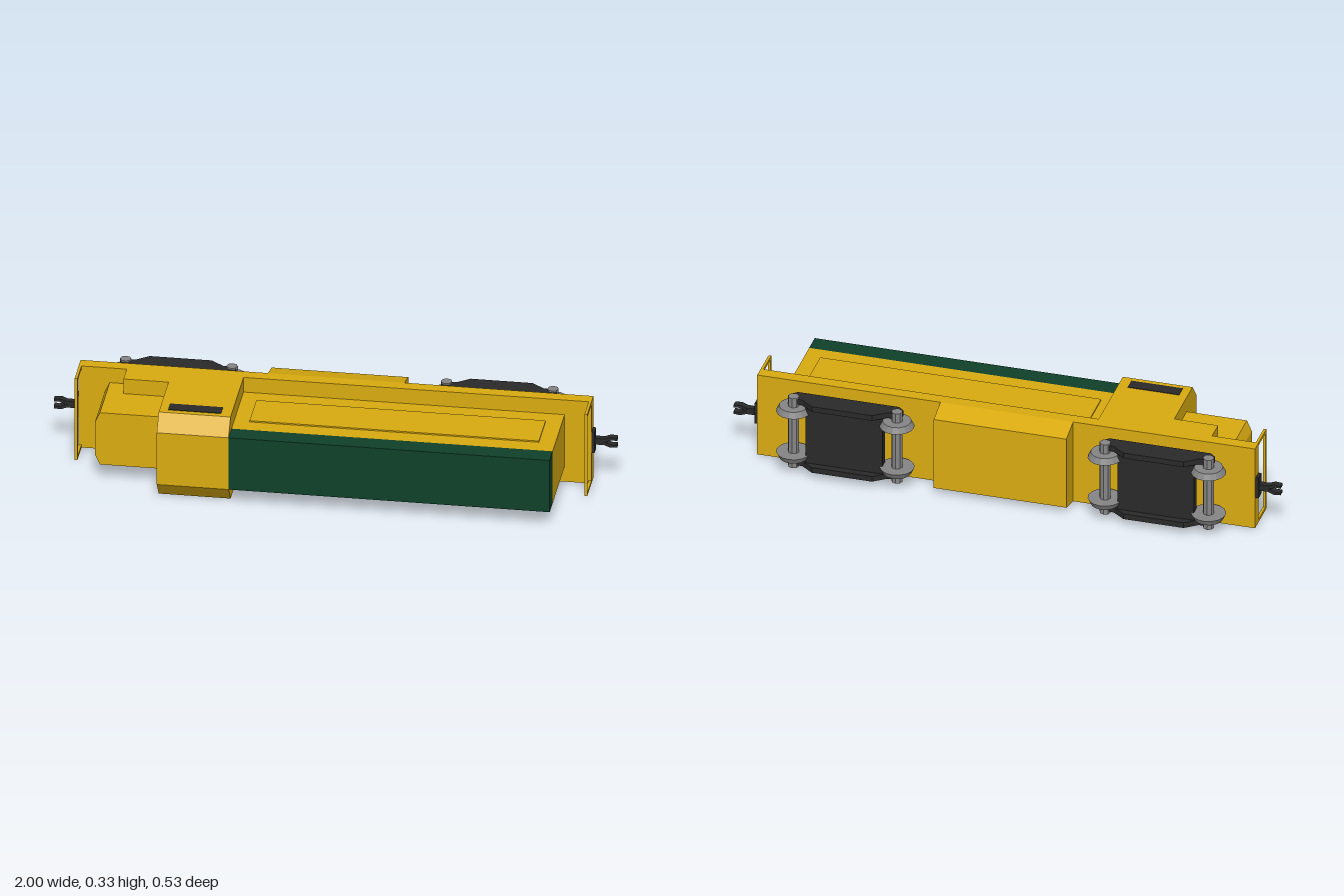
import * as THREE from 'three';

const MID = 0.162; // centre line of the body, in y
const mat = (color) => new THREE.MeshStandardMaterial({ color, flatShading: true });

export function createModel() {
  const root = new THREE.Group();
  const yellow = mat(0xd9ab10), green = mat(0x0f4029), dark = mat(0x2a2a2a), steel = mat(0x858585);

  const add = (parent, name, geometry, material) => {
    const mesh = new THREE.Mesh(geometry, material);
    mesh.name = name;
    parent.add(mesh);
    return mesh;
  };
  // Box given by its limits on each axis
  const box = (parent, name, x0, x1, y0, y1, z0, z1, material) => {
    const m = add(parent, name, new THREE.BoxGeometry(x1 - x0, y1 - y0, z1 - z0), material);
    m.position.set((x0 + x1) / 2, (y0 + y1) / 2, (z0 + z1) / 2);
    return m;
  };
  // Prism along x, outline in [z, y]
  const prismX = (parent, name, outline, x0, x1, material) => {
    const shape = new THREE.Shape(outline.map(([z, y]) => new THREE.Vector2(-z, y)));
    const g = new THREE.ExtrudeGeometry(shape, { depth: x1 - x0, bevelEnabled: false });
    g.rotateY(Math.PI / 2).translate(x0, 0, 0);
    return add(parent, name, g, material);
  };
  // Prism along y, outline in [x, z]
  const prismY = (parent, name, outline, y0, y1, material) => {
    const shape = new THREE.Shape(outline.map(([x, z]) => new THREE.Vector2(x, z)));
    const g = new THREE.ExtrudeGeometry(shape, { depth: y1 - y0, bevelEnabled: false });
    g.rotateX(Math.PI / 2).translate(0, y1, 0);
    return add(parent, name, g, material);
  };

  // Underframe and tapered fuel tank
  box(root, 'underframe', -0.91, 0.91, 0, 0.323, -0.13, -0.085, yellow);
  prismX(root, 'fuelTank', [[-0.13, 0], [-0.13, 0.323], [-0.215, 0.301], [-0.215, 0.022]],
    -0.245, 0.24, yellow);

  // Long hood with side panels and green top
  box(root, 'longHood', -0.325, 0.815, 0.06, 0.265, -0.085, 0.195, yellow);
  box(root, 'hoodTop', -0.325, 0.815, 0.06, 0.265, 0.195, 0.265, green);
  box(root, 'hoodSidePanels', -0.27, 0.757, 0.055, 0.27, -0.022, 0.135, yellow);

  // Cab with chamfered roof and side windows
  prismX(root, 'cab', [[-0.085, 0], [0.218, 0], [0.265, 0.06], [0.265, 0.265], [0.218, 0.323], [-0.085, 0.323]],
    -0.58, -0.325, yellow);
  box(root, 'rightWindow', -0.55, -0.362, 0.321, 0.325, 0.152, 0.198, dark);
  box(root, 'leftWindow', -0.55, -0.362, -0.002, 0.002, 0.152, 0.198, dark);

  // Short nose with clipped corners, and the raised step beside it
  prismY(root, 'nose', [[-0.8, -0.085], [-0.8, 0.145], [-0.58, 0.145], [-0.58, -0.085]], 0.06, 0.265, yellow);
  const tip = new THREE.Shape([[-0.8, 0.06], [-0.8, 0.265], [-0.818, 0.225], [-0.818, 0.1]]
    .map(([x, y]) => new THREE.Vector2(x, y)));
  add(root, 'noseFront', new THREE.ExtrudeGeometry(tip, { depth: 0.23, bevelEnabled: false }), yellow)
    .position.z = -0.085;
  box(root, 'noseStep', -0.74, -0.58, 0, 0.323, -0.085, -0.01, yellow);

  // End railings and couplers
  for (const s of [-1, 1]) {
    const end = new THREE.Group();
    end.name = s < 0 ? 'cabEnd' : 'hoodEnd';
    if (s < 0) end.rotation.z = Math.PI;
    if (s < 0) end.position.y = 2 * MID - 0.001;
    root.add(end);
    for (const y of [0, 0.312]) box(end, 'railingPost', 0.9, 0.91, y, y + 0.011, -0.085, 0.012, yellow);
    box(end, 'railingBar', 0.9, 0.91, 0.011, 0.312, 0.002, 0.012, yellow);
    box(end, 'couplerPlate', 0.91, 0.921, MID - 0.041, MID + 0.041, -0.124, -0.086, dark);
    box(end, 'couplerShank', 0.921, 0.962, MID - 0.012, MID + 0.012, -0.118, -0.095, dark);
    for (const k of [-1, 1]) {
      const y = (v) => MID + k * v;
      const jaw = [[0.952, y(0)], [0.972, y(0.006)], [0.982, y(0.01)], [1, y(0.008)], [1, y(0.018)], [0.975, y(0.02)], [0.955, y(0.012)]];
      const shape = new THREE.Shape(jaw.map(([a, b]) => new THREE.Vector2(a, b)));
      add(end, 'couplerJaw', new THREE.ExtrudeGeometry(shape, { depth: 0.025, bevelEnabled: false }), dark)
        .position.z = -0.119;
    }
  }

  // Two bogies with side frames, axles and coned wheels
  for (const cx of [-0.572, 0.567]) {
    const bogie = new THREE.Group();
    bogie.name = 'bogie';
    bogie.position.x = cx;
    root.add(bogie);
    box(bogie, 'topPlate', -0.108, 0.108, 0.052, 0.272, -0.141, -0.13, dark);
    box(bogie, 'pivotBlock', -0.108, 0.108, 0.135, 0.21, -0.186, -0.141, dark);
    box(bogie, 'transom', -0.14, 0.14, 0.04, 0.284, -0.218, -0.182, dark);
    const half = [[0.11, -0.244], [0.155, -0.21], [0.205, -0.207], [0.205, -0.178], [0.185, -0.16], [0.145, -0.16]];
    const outline = [...half, ...half.map(([x, z]) => [-x, z]).reverse()];
    for (const y of [0.028, 0.276]) prismY(bogie, 'sideFrame', outline, y, y + 0.021, dark);
    for (const x of [-0.189, 0.189]) {
      const axle = add(bogie, 'axle', new THREE.CylinderGeometry(0.02, 0.02, 0.283, 8), steel);
      axle.position.set(x, MID, -0.2015);
      for (const k of [-1, 1]) {
        const wheel = add(bogie, 'wheel', new THREE.CylinderGeometry(k > 0 ? 0.051 : 0.062, k > 0 ? 0.062 : 0.051, 0.022, 16), steel);
        wheel.position.set(x, MID + k * 0.0935, -0.2015);
      }
    }
  }
  return root;
}
